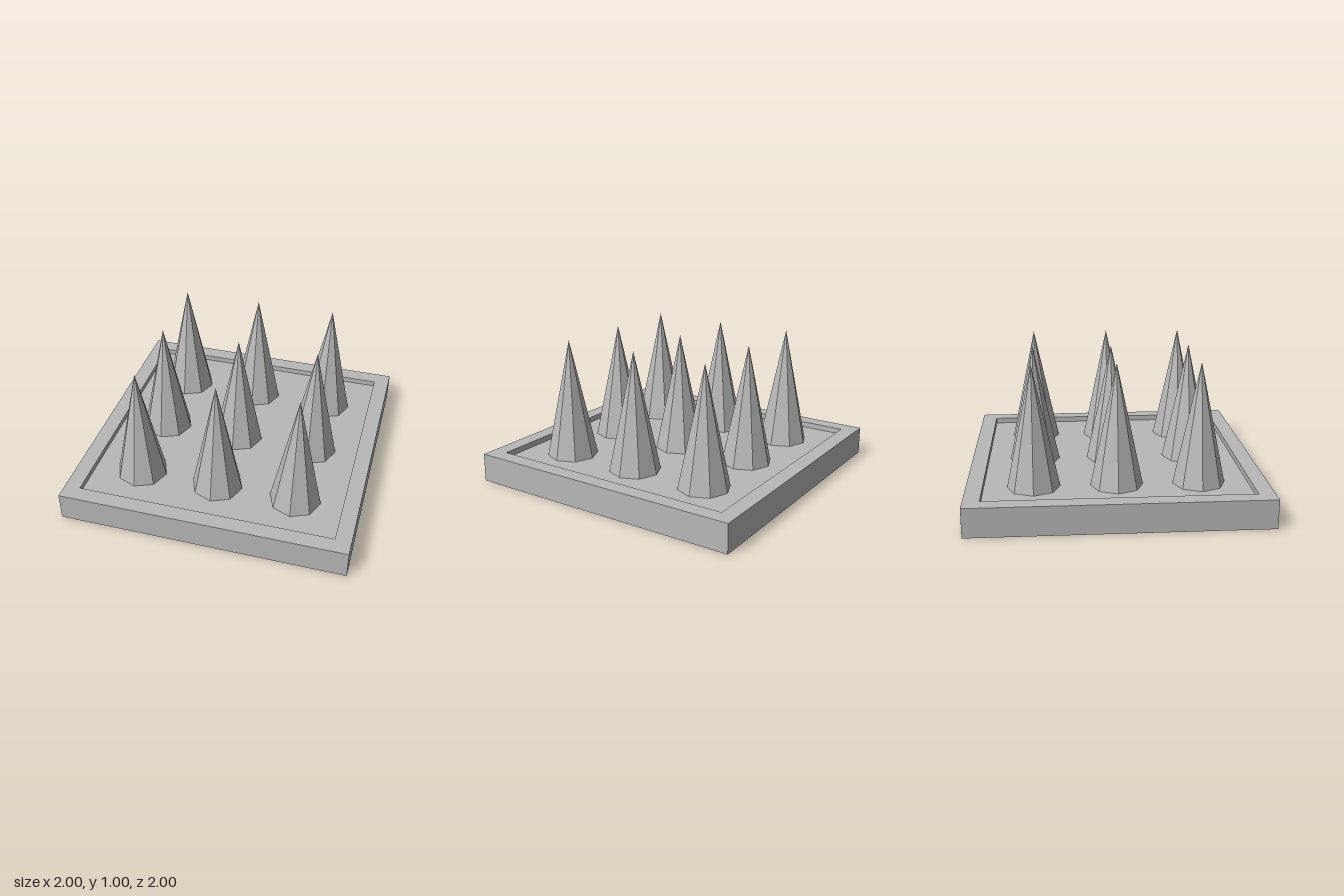
import * as THREE from 'three';

// Give every face its own normal, for crisp low-poly facets
function faceted(geometry) {
  const flat = geometry.toNonIndexed();
  flat.computeVertexNormals();
  return flat;
}

export function createModel() {
  const model = new THREE.Group();
  model.name = 'spikeTrap';
  const stone = new THREE.MeshStandardMaterial({ color: 0xb8b8b8 });
  stone.name = 'grey stone';

  const rimTop = 0.2, floorY = 0.16, inner = 0.89;

  // Square tray: four-sided lathe, from underside centre over the rim to the floor centre
  const profile = [
    [0, 0], [1, 0], [1, rimTop], [inner, rimTop], [inner, floorY], [0, floorY],
  ].map(([half, y]) => new THREE.Vector2(half * Math.SQRT2, y));
  const tray = new THREE.Mesh(faceted(new THREE.LatheGeometry(profile, 4, Math.PI / 4)), stone);
  tray.name = 'tray';
  model.add(tray);

  // Three by three grid of eight-sided spikes standing on the recessed floor
  const height = 0.835, spacing = 0.556;
  const spikeGeometry = faceted(new THREE.ConeGeometry(0.178, height, 8, 1, true));
  const spikes = new THREE.Group();
  spikes.name = 'spikes';
  for (let row = -1; row <= 1; row++) {
    for (let column = -1; column <= 1; column++) {
      const spike = new THREE.Mesh(spikeGeometry, stone);
      spike.name = 'spike';
      spike.position.set(column * spacing, floorY + height / 2, row * spacing);
      spikes.add(spike);
    }
  }
  model.add(spikes);
  return model;
}
